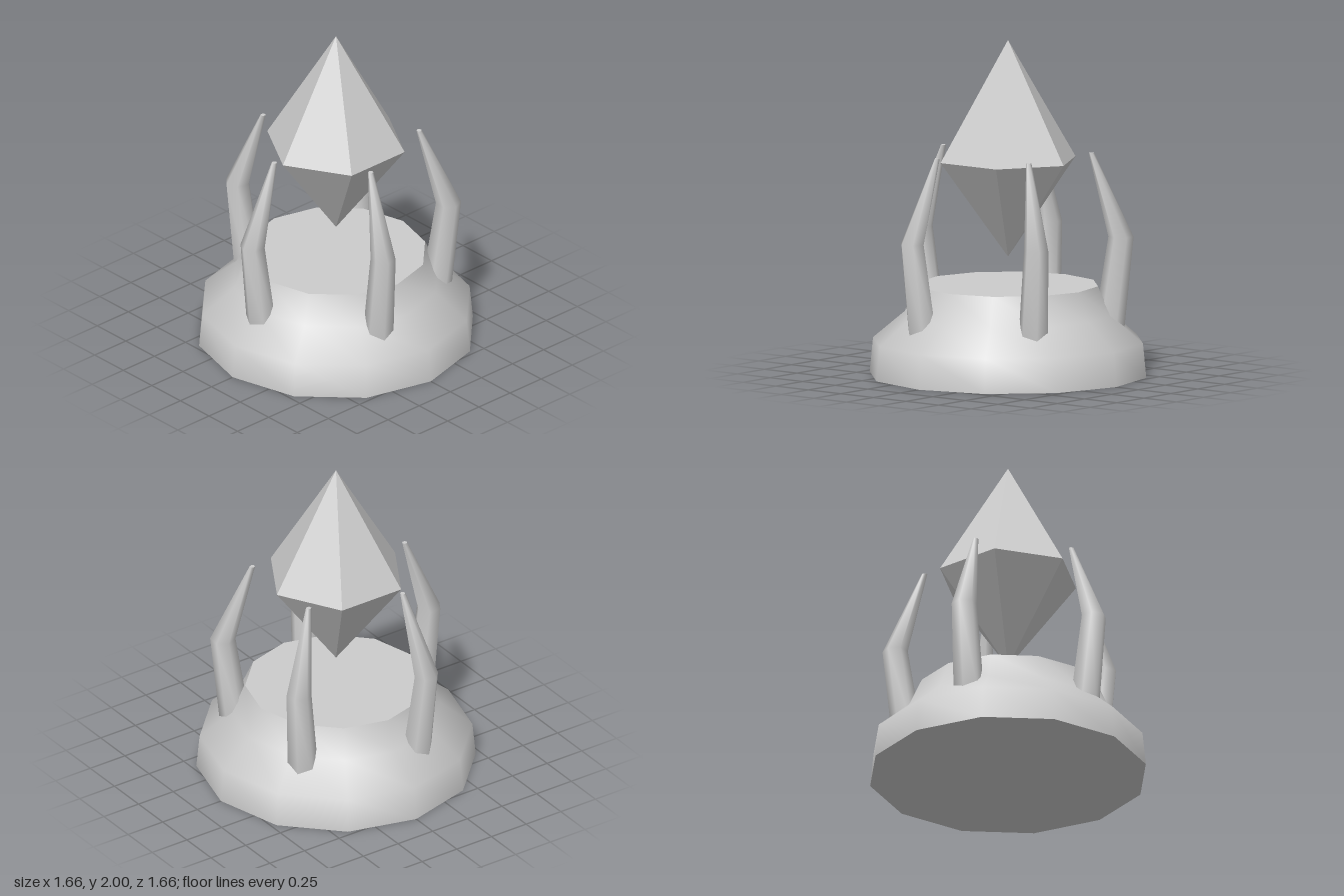
import * as THREE from 'three';
import { mergeVertices } from 'three/addons/utils/BufferGeometryUtils.js';

const points = (list) => list.map(([r, y]) => new THREE.Vector2(r, y));

// Lathe with one smooth skin across its seam
function smoothLathe(profile, sides, offset = () => 0) {
  let geo = new THREE.LatheGeometry(points(profile), sides);
  geo.deleteAttribute('uv');
  geo.deleteAttribute('normal');
  const pos = geo.attributes.position;
  for (let i = 0; i < pos.count; i++) pos.setZ(i, pos.getZ(i) + offset(pos.getY(i)));
  geo = mergeVertices(geo, 1e-4);
  geo.computeVertexNormals();
  return geo;
}

export function createModel() {
  const model = new THREE.Group();
  model.name = 'crystalPedestal';
  const stone = new THREE.MeshStandardMaterial({ color: 0xcccccc });
  stone.name = 'paleGrey';

  function add(parent, name, geo) {
    const mesh = new THREE.Mesh(geo, stone);
    mesh.name = name;
    parent.add(mesh);
    return mesh;
  }

  // Disc whose corners line up with the lathe's corners
  function disc(radius, sides, y, up) {
    const geo = new THREE.CircleGeometry(radius, sides);
    geo.rotateX(up ? -Math.PI / 2 : Math.PI / 2);
    geo.rotateY(Math.PI / 2);
    geo.translate(0, y, 0);
    return geo;
  }

  // Twelve-sided base with flat top and bottom
  const base = new THREE.Group();
  base.name = 'base';
  model.add(base);
  add(base, 'baseSide', smoothLathe([[0.83, 0], [0.81, 0.205], [0.62, 0.365], [0.54, 0.54]], 12));
  add(base, 'baseTop', disc(0.54, 12, 0.54, true));
  add(base, 'baseBottom', disc(0.83, 12, 0, false));

  // Five bent claws, each a tapering six-sided prong sheared along its path
  const clawPath = [[0.25, 0.595], [0.83, 0.67], [1.33, 0.495]];
  const clawOffset = (y) => {
    const [a, b] = y < 0.83 ? clawPath : clawPath.slice(1);
    return a[1] + (b[1] - a[1]) * (y - a[0]) / (b[0] - a[0]);
  };
  const clawGeo = smoothLathe([[0.092, 0.25], [0.075, 0.83], [0.016, 1.33]], 6, clawOffset);
  const tipGeo = disc(0.016, 6, 1.33, true).translate(0, 0, 0.495);
  for (let i = 0; i < 5; i++) {
    const claw = new THREE.Group();
    claw.name = 'claw' + (i + 1);
    claw.rotation.y = (i * 2 * Math.PI) / 5;
    add(claw, 'clawProng', clawGeo);
    add(claw, 'clawTip', tipGeo);
    model.add(claw);
  }

  // Faceted six-sided crystal
  const crystal = new THREE.LatheGeometry(points([[0, 0.705], [0.426, 1.285], [0, 2]]), 6).toNonIndexed();
  crystal.computeVertexNormals();
  add(model, 'crystal', crystal);

  return model;
}
